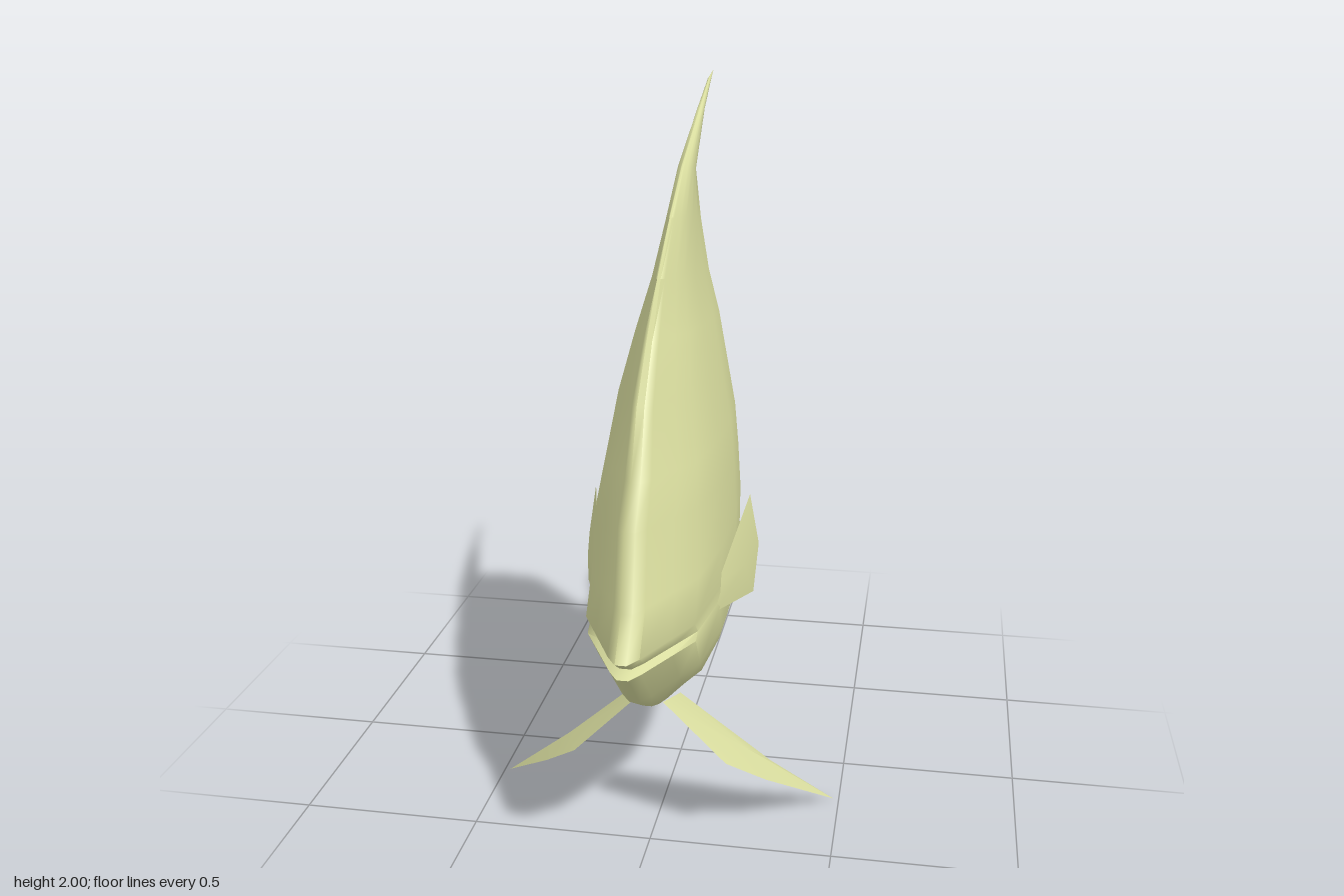
import * as THREE from 'three';
import { toCreasedNormals } from 'three/addons/utils/BufferGeometryUtils.js';

// Loft through rungs [z0, y0, z1, y1, halfWidth]; the profile [t, k] gives
// the share k of the half width at the fraction t along each rung.
function loft(rungs, profile) {
  const pos = [], idx = [];
  const ring = [
    ...profile.map(([t, k]) => [t, k]),
    ...profile.slice().reverse().map(([t, k]) => [t, -k]),
  ];
  const n = ring.length;
  for (const [z0, y0, z1, y1, w] of rungs)
    for (const [t, k] of ring) pos.push(k * w, y0 + (y1 - y0) * t, z0 + (z1 - z0) * t);
  for (let i = 0; i < rungs.length - 1; i++)
    for (let j = 0; j < n; j++) {
      const a = i * n + j, b = i * n + ((j + 1) % n), c = a + n, d = b + n;
      idx.push(a, c, b, b, c, d);
    }
  const g = new THREE.BufferGeometry();
  g.setAttribute('position', new THREE.Float32BufferAttribute(pos, 3));
  g.setIndex(idx);
  return toCreasedNormals(g, 1.1);
}

// Thin fin: an outline [x, y, z] with a raised centre on both faces.
function blade(outline, thickness, side) {
  const p = outline.map(([x, y, z]) => new THREE.Vector3(x * side, y, z));
  const centre = new THREE.Vector3(), normal = new THREE.Vector3();
  p.forEach((v) => centre.addScaledVector(v, 1 / p.length));
  p.forEach((v, i) => {
    const e = v.clone().sub(centre), f = p[(i + 1) % p.length].clone().sub(centre);
    normal.add(e.cross(f));
  });
  normal.setLength(thickness / 2);
  const up = centre.clone().add(normal), down = centre.clone().sub(normal);
  const pts = [];
  p.forEach((v, i) => {
    const w = p[(i + 1) % p.length];
    pts.push(v, w, up, w, v, down);
  });
  const g = new THREE.BufferGeometry().setFromPoints(pts);
  return toCreasedNormals(g, 0.5);
}

export function createModel() {
  const model = new THREE.Group();
  model.name = 'fish';
  const skin = new THREE.MeshStandardMaterial({ color: 0xd8dc9e, side: THREE.DoubleSide });
  skin.name = 'paleYellowSkin';
  const add = (name, geometry) => {
    const mesh = new THREE.Mesh(geometry, skin);
    mesh.name = name;
    model.add(mesh);
  };

  // Body with dorsal and anal fins: rungs run from the front edge to the back edge
  add('body', loft([
    [-0.57, 2.0, -0.57, 2.0, 0],
    [-0.49, 1.985, -0.47, 1.957, 0.005],
    [-0.3, 1.905, -0.365, 1.905, 0.01],
    [-0.02, 1.78, -0.17, 1.755, 0.022],
    [0.16, 1.67, -0.27, 1.6, 0.034],
    [0.33, 1.54, -0.375, 1.44, 0.055],
    [0.46, 1.41, -0.42, 1.32, 0.09],
    [0.58, 1.27, -0.42, 1.2, 0.122],
    [0.65, 1.095, -0.42, 1.08, 0.153],
    [0.725, 0.995, -0.42, 0.96, 0.168],
    [0.77, 0.8, -0.43, 0.85, 0.178],
    [0.85, 0.7, -0.43, 0.75, 0.18],
    [0.79, 0.662, -0.42, 0.7, 0.18],
    [0.83, 0.65, -0.42, 0.68, 0.18],
    [0.69, 0.52, -0.38, 0.63, 0.173],
    [0.52, 0.42, -0.43, 0.56, 0.148],
    [0.4, 0.365, -0.48, 0.485, 0.115],
    [0.14, 0.31, -0.49, 0.39, 0.065],
    [-0.06, 0.265, -0.5, 0.31, 0.025],
    [-0.5, 0.27, -0.53, 0.307, 0.01],
    [-0.77, 0.34, -0.77, 0.34, 0],
  ], [
    [0, 0.08], [0.03, 0.22], [0.12, 0.54], [0.19, 0.79], [0.36, 0.96],
    [0.55, 1], [0.73, 0.9], [0.87, 0.53], [0.95, 0.18], [1, 0.03],
  ]));

  // Tail: upright rungs from bottom to top, running backwards
  add('tailFin', loft([
    [-0.22, 0.64, -0.22, 0.97, 0.1],
    [-0.42, 0.68, -0.42, 0.955, 0.055],
    [-0.48, 0.69, -0.475, 0.89, 0.045],
    [-0.55, 0.65, -0.55, 0.9, 0.034],
    [-0.61, 0.595, -0.62, 0.96, 0.025],
    [-0.69, 0.57, -0.7, 0.995, 0.018],
    [-0.785, 0.59, -0.775, 0.97, 0.011],
    [-0.85, 0.77, -0.85, 0.79, 0.002],
  ], [[0, 0.03], [0.12, 0.45], [0.3, 0.85], [0.5, 1], [0.7, 0.85], [0.88, 0.45], [1, 0.03]]));

  // Paired fins
  for (const [side, label] of [[1, 'left'], [-1, 'right']]) {
    add(label + 'PectoralFin', blade([
      [0.165, 0.725, 0.39], [0.22, 0.9, 0.14], [0.245, 0.75, 0.127],
      [0.238, 0.625, 0.18], [0.165, 0.655, 0.4],
    ], 0.03, side));
    add(label + 'PelvicFin', blade([
      [0.04, 0.43, 0.51], [0.07, 0.41, 0.41], [0.31, 0.165, 0.305],
      [0.485, 0.0, 0.205], [0.31, 0.17, 0.42], [0.21, 0.255, 0.5],
    ], 0.03, side));
  }
  return model;
}
